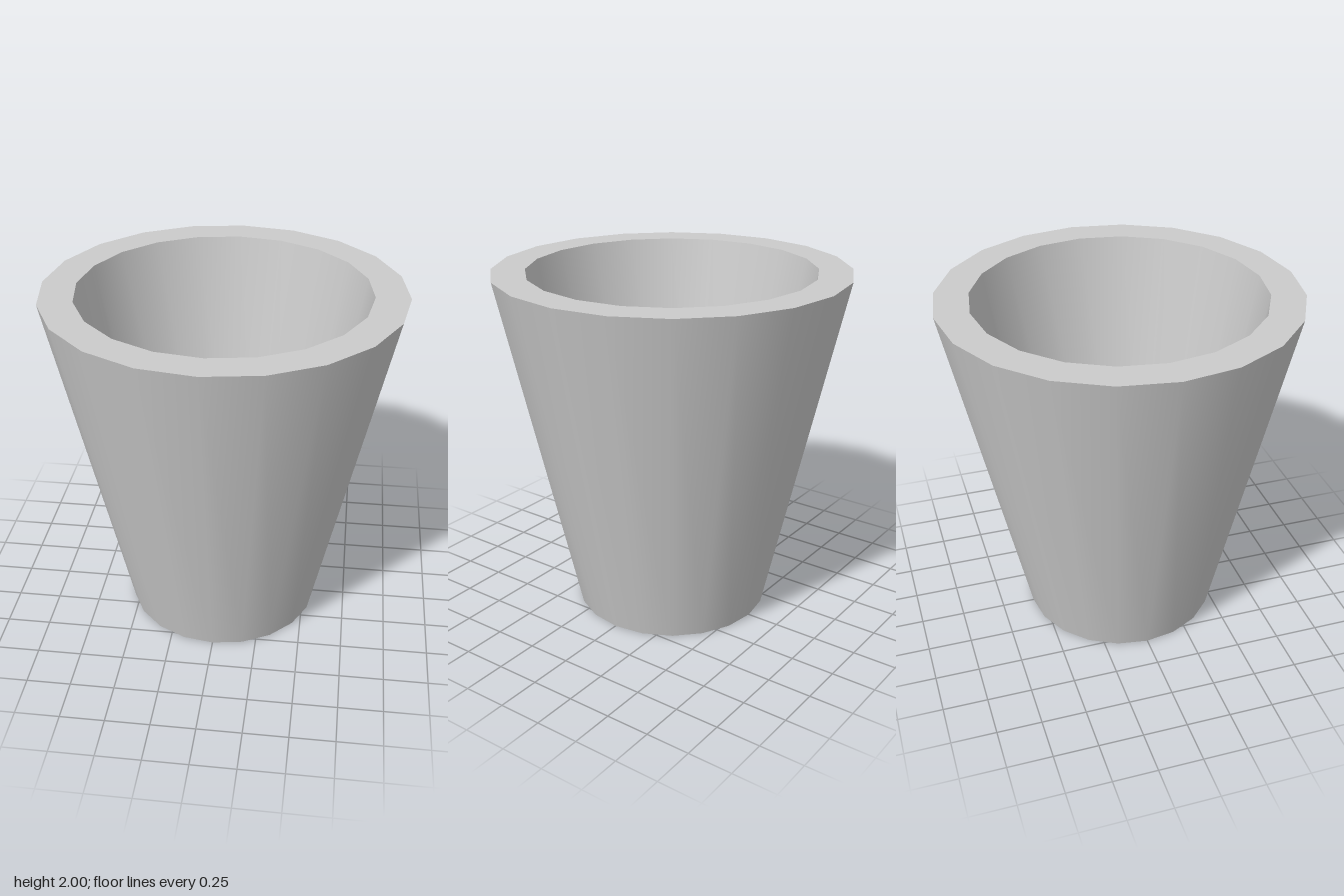
import * as THREE from 'three';

const SIDES = 20;

export function createModel() {
  const group = new THREE.Group();
  group.name = 'taperedCup';
  const material = new THREE.MeshStandardMaterial({ color: 0xcccccc });

  // Profile from the centre of the base, up the outside and down into the cup
  const profile = [
    [0, 0], [0.56, 0], [1, 2], [0.81, 2], [0.49, 0.2], [0, 0.2],
  ].map(([r, y]) => new THREE.Vector2(r, y));
  const names = ['base', 'outerWall', 'rim', 'innerWall', 'floor'];

  // One band per part: smooth around the cup, sharp where bands meet
  names.forEach((name, i) => {
    const band = new THREE.LatheGeometry([profile[i], profile[i + 1]], SIDES);
    const mesh = new THREE.Mesh(band, material);
    mesh.name = name;
    group.add(mesh);
  });
  return group;
}
